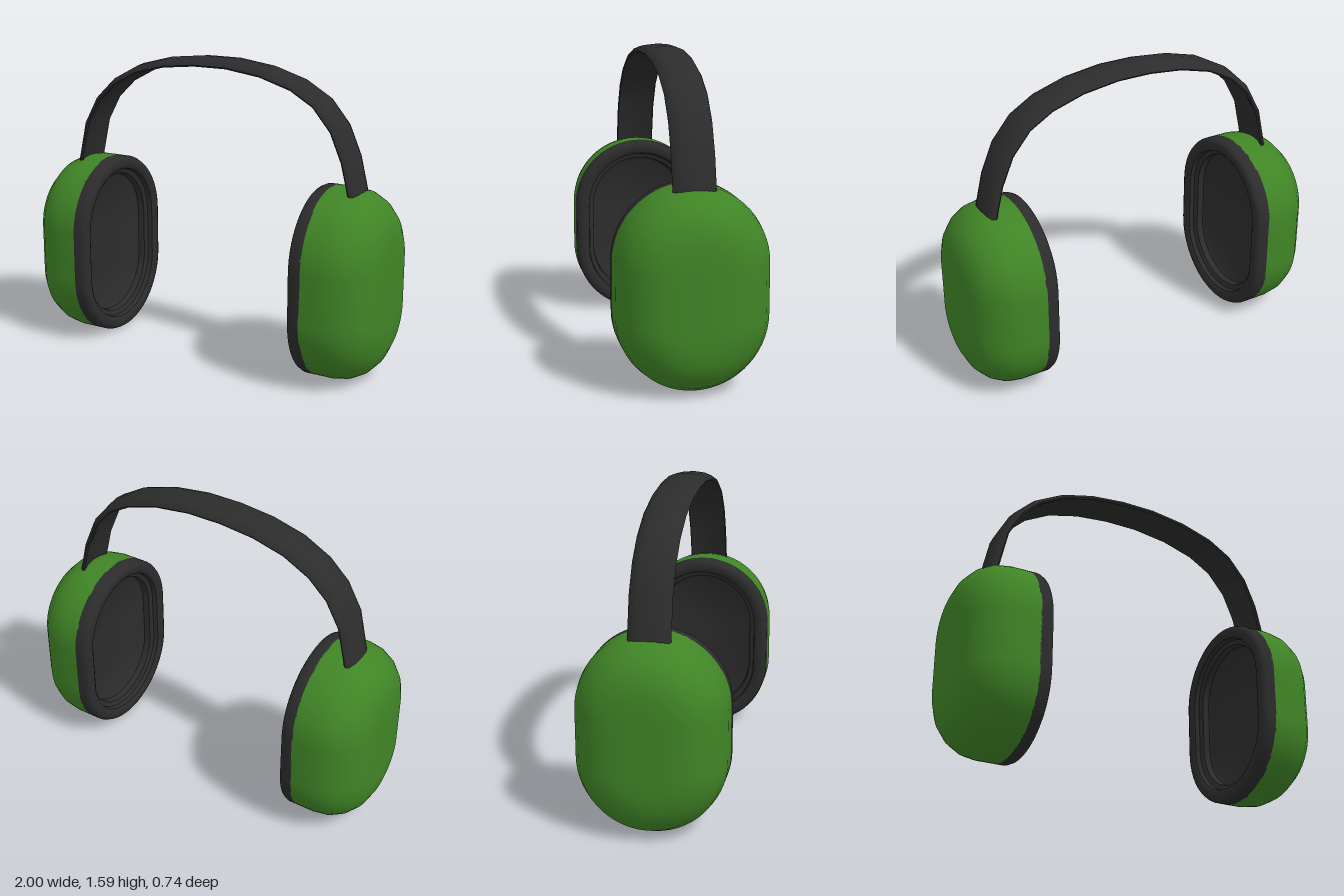
import * as THREE from 'three';
import { toCreasedNormals } from 'three/addons/utils/BufferGeometryUtils.js';

const RADIUS = 0.37, STRAIGHT = 0.125, MID_Y = 0.495, ARC = 30;

// Geometry from a grid of points: rows of equal closed rings
function skinRings(rings, caps = []) {
  const n = rings[0].length, index = [];
  for (let i = 0; i < rings.length - 1; i++) {
    for (let j = 0; j < n; j++) {
      const a = i * n + j, b = i * n + (j + 1) % n;
      index.push(a, a + n, b, b, a + n, b + n);
    }
  }
  const geo = new THREE.BufferGeometry();
  geo.setAttribute('position', new THREE.Float32BufferAttribute(rings.flat(2), 3));
  geo.setIndex(index.concat(caps));
  geo.computeVertexNormals();
  return geo;
}

// Upright stadium outline in the plane at x, shrunk by inset
function stadium(x, inset) {
  const r = RADIUS - inset, ring = [];
  for (const half of [0, 1]) {
    for (let i = 0; i <= ARC; i++) {
      const a = Math.PI * (half + i / ARC);
      ring.push([x, MID_Y + r * Math.sin(a) + (half ? -STRAIGHT : STRAIGHT), r * Math.cos(a)]);
    }
  }
  return ring;
}

const stack = (profile) => toCreasedNormals(skinRings(profile.map(([x, inset]) => stadium(x, inset))), 0.7);

// Rounded outer shell of an ear cup
function shellGeometry() {
  const profile = [[0.67, 0]];
  for (let i = 0; i <= 5; i++) {
    const a = (i / 5) * Math.PI / 2;
    profile.push([0.765 + 0.232 * Math.sin(a), 0.24 * (1 - Math.cos(a))]);
  }
  profile.push([1, 0.3], [1, RADIUS]);
  return stack(profile);
}

// Padded rim with a stepped inner edge around a shallow floor
function cushionGeometry() {
  return stack([
    [0.69, RADIUS], [0.69, 0.12], [0.68, 0.105], [0.645, 0.1],
    [0.635, 0.075], [0.61, 0.07], [0.6, 0.055], [0.6, 0.025], [0.608, 0.008], [0.625, 0], [0.675, 0],
  ]);
}

// Arched strip: rounded on the outside, slightly hollow underneath
function bandGeometry() {
  const path = [
    [0.84, 0.97], [0.797, 1.145], [0.73, 1.3], [0.625, 1.425], [0.49, 1.505], [0.31, 1.56], [0.11, 1.587],
    [-0.08, 1.587], [-0.27, 1.567], [-0.45, 1.52], [-0.6, 1.44], [-0.71, 1.335], [-0.79, 1.19], [-0.84, 0.97],
  ];
  const outer = [[-0.105, -0.037], [-0.095, -0.02], [-0.06, -0.006], [0, 0], [0.06, -0.006], [0.095, -0.02], [0.105, -0.037]];
  const inner = [[0.1, -0.045], [0.088, -0.042], [0.055, -0.032], [0, -0.027], [-0.055, -0.032], [-0.088, -0.042], [-0.1, -0.045]];
  const section = [...outer, ...inner], n = section.length;
  const rings = path.map(([x, y], i) => {
    const p = path[Math.max(i - 1, 0)], q = path[Math.min(i + 1, path.length - 1)];
    const t = new THREE.Vector2(q[0] - p[0], q[1] - p[1]).normalize();
    return section.map(([z, d]) => [x + t.y * d, y - t.x * d, z]);
  });
  // End caps joining the outer and inner curves
  const caps = [], last = (path.length - 1) * n;
  for (let j = 0; j < n / 2 - 1; j++) {
    const a = j, b = j + 1, c = n - 2 - j, d = n - 1 - j;
    caps.push(a, b, c, a, c, d, last + a, last + c, last + b, last + a, last + d, last + c);
  }
  return toCreasedNormals(skinRings(rings, caps), 0.7);
}

export function createModel() {
  const model = new THREE.Group();
  model.name = 'earDefenders';
  const green = new THREE.MeshStandardMaterial({ color: 0x408526 });
  const black = new THREE.MeshStandardMaterial({ color: 0x2c2c2c });
  const add = (parent, name, geo, mat) => {
    const mesh = new THREE.Mesh(geo, mat);
    mesh.name = name;
    parent.add(mesh);
  };

  const shell = shellGeometry(), cushion = cushionGeometry();
  for (const side of ['left', 'right']) {
    const cup = new THREE.Group();
    cup.name = side + 'EarCup';
    add(cup, side + 'Shell', shell, green);
    add(cup, side + 'Cushion', cushion, black);
    if (side === 'right') cup.rotation.y = Math.PI;
    model.add(cup);
  }

  add(model, 'headband', bandGeometry(), black);
  return model;
}
